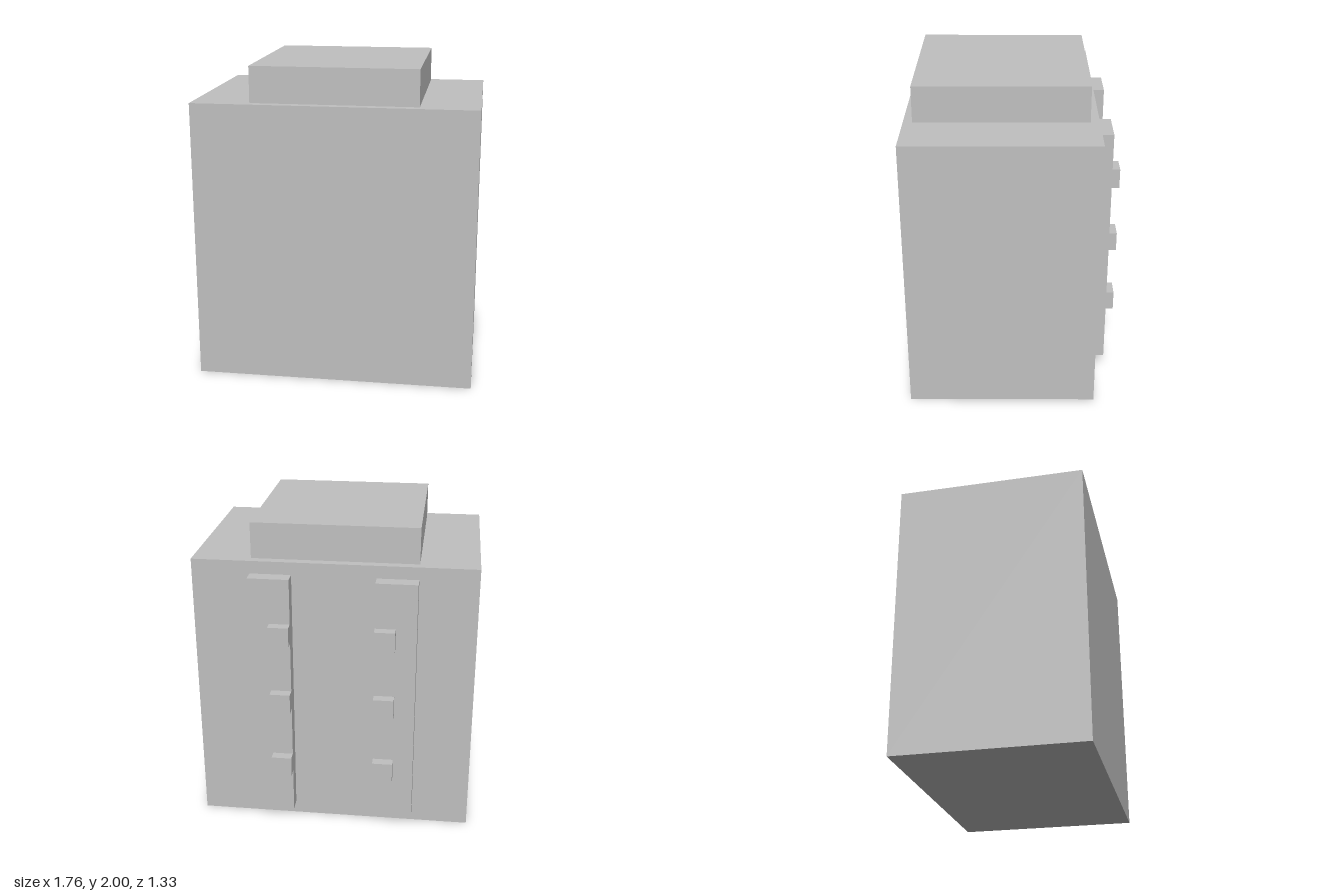
import * as THREE from 'three';

export function createModel() {
  const model = new THREE.Group();
  model.name = 'cabinet';
  const grey = new THREE.MeshStandardMaterial({ color: 0xc0c0c0 });
  grey.name = 'light grey';

  // Box given by its minimum and maximum corners
  function box(name, [x0, y0, z0], [x1, y1, z1], parent = model) {
    const mesh = new THREE.Mesh(new THREE.BoxGeometry(x1 - x0, y1 - y0, z1 - z0), grey);
    mesh.position.set((x0 + x1) / 2, (y0 + y1) / 2, (z0 + z1) / 2);
    mesh.name = name;
    parent.add(mesh);
  }

  // Main block and the raised slab on top
  box('body', [-0.878, 0, -0.513], [0.878, 1.775, 0.664]);
  box('topSlab', [-0.516, 1.775, -0.457], [0.516, 2, 0.608]);

  // Mirrored back rails, each with three blocks flush with its inner edge
  for (const side of [-1, 1]) {
    const rail = new THREE.Group();
    rail.name = side > 0 ? 'leftRail' : 'rightRail';
    const span = (a, b) => [Math.min(side * a, side * b), Math.max(side * a, side * b)];
    const [r0, r1] = span(0.26, 0.516);
    const [b0, b1] = span(0.26, 0.388);
    box('railStrip', [r0, 0.085, -0.602], [r1, 1.695, -0.513], rail);
    for (const y of [0.375, 0.827, 1.28]) {
      box('railBlock', [b0, y, -0.664], [b1, y + 0.126, -0.602], rail);
    }
    model.add(rail);
  }
  return model;
}
